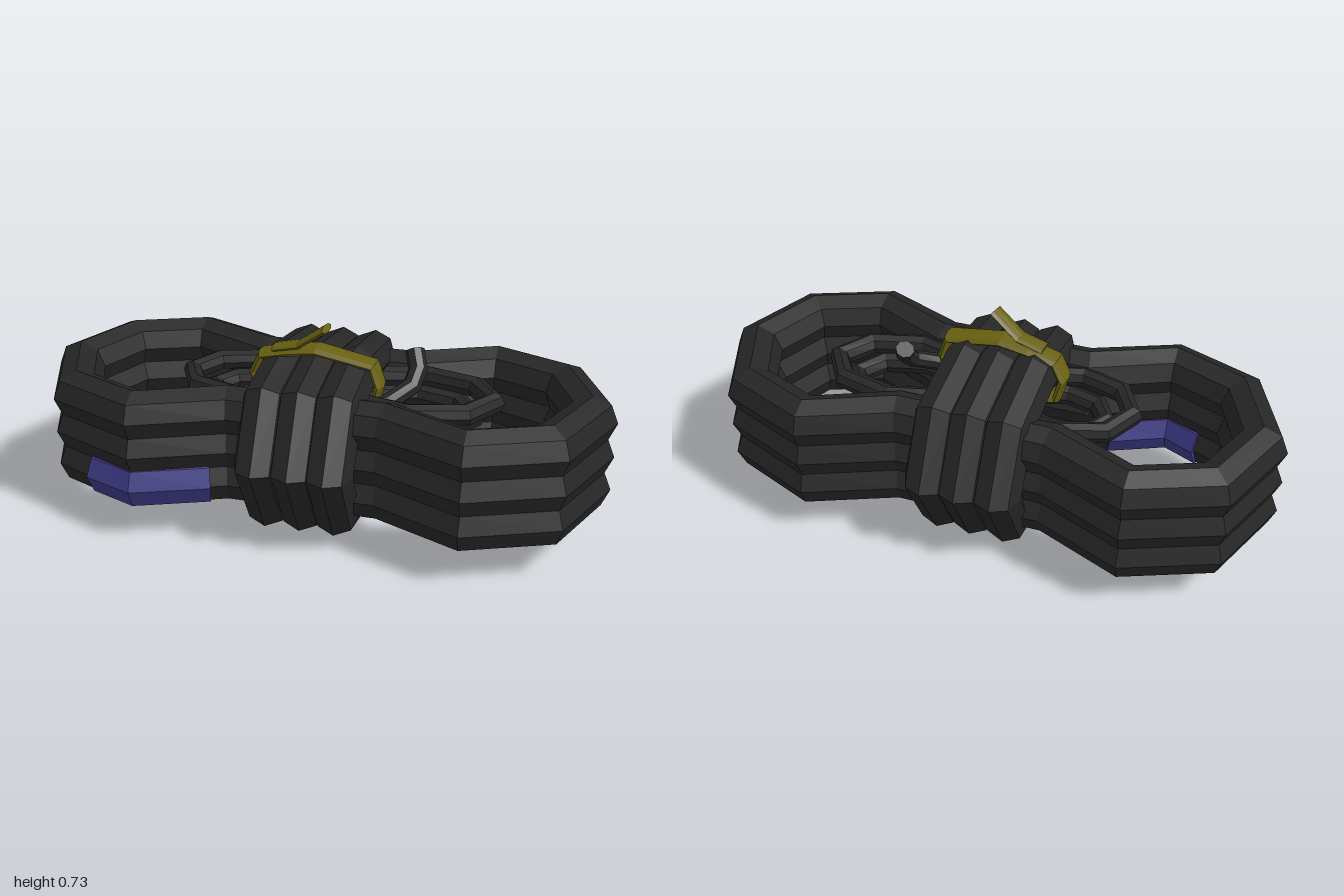
import * as THREE from 'three';

const V = (x, y, z) => new THREE.Vector3(x, y, z);

const cableBlack = new THREE.MeshStandardMaterial({ color: 0x262626 });
const tieYellow = new THREE.MeshStandardMaterial({ color: 0x686010 });
const sleeveBlue = new THREE.MeshStandardMaterial({ color: 0x3d3a84 });

// Faceted tube along points; rn is the radius in the bend plane, rb along the side axis
function sweep(points, side, rn, rb, closed, sides = 8) {
  const n = points.length, pos = [], idx = [];
  points.forEach((p, i) => {
    const prev = closed ? points[(i + n - 1) % n] : points[Math.max(i - 1, 0)];
    const next = closed ? points[(i + 1) % n] : points[Math.min(i + 1, n - 1)];
    const a = p.clone().sub(prev).normalize(), c = next.clone().sub(p).normalize();
    const t = a.add(c).normalize();
    const out = t.clone().cross(side).normalize();
    const b = out.clone().cross(t);
    for (let j = 0; j < sides; j++) {
      const ang = (j / sides) * Math.PI * 2;
      const q = p.clone().addScaledVector(out, Math.cos(ang) * rn).addScaledVector(b, Math.sin(ang) * rb);
      pos.push(q.x, q.y, q.z);
    }
  });
  const segs = closed ? n : n - 1;
  for (let i = 0; i < segs; i++) {
    for (let j = 0; j < sides; j++) {
      const k = (j + 1) % sides, i2 = (i + 1) % n;
      const p = i * sides + j, q = i * sides + k, r = i2 * sides + j, s = i2 * sides + k;
      idx.push(p, r, q, q, r, s);
    }
  }
  if (!closed) {
    const e = (n - 1) * sides;
    for (let j = 1; j < sides - 1; j++) idx.push(0, j, j + 1, e, e + j + 1, e + j);
  }
  const indexed = new THREE.BufferGeometry();
  indexed.setAttribute('position', new THREE.Float32BufferAttribute(pos, 3));
  indexed.setIndex(idx);
  const geo = indexed.toNonIndexed(); // separate faces for a faceted look
  geo.computeVertexNormals();
  return geo;
}

export function createModel() {
  const model = new THREE.Group();
  const add = (name, geo, mat) => {
    const mesh = new THREE.Mesh(geo, mat);
    mesh.name = name;
    model.add(mesh);
    return mesh;
  };
  const X = V(1, 0, 0), Y = V(0, 1, 0), Z = V(0, 0, 1);

  // Main coils: three stacked turns with an octagonal loop at each end
  const half = [[0.27, 0.23], [0.555, 0.356], [0.807, 0.252], [0.911, 0],
    [0.807, -0.252], [0.555, -0.356], [0.27, -0.23]];
  const outline = [...half, ...half.map(([x, z]) => [-x, -z])];
  [0.2, 0.323, 0.446].forEach((y, i) => {
    add('mainCoil' + (i + 1), sweep(outline.map(([x, z]) => V(x, y, z)), Y, 0.088, 0.088, true), cableBlack);
  });

  // Cable wound three times round the middle
  const wrap = [[0, 0.224], [0.25, 0.186], [0.356, 0], [0.25, -0.186],
    [0, -0.224], [-0.25, -0.186], [-0.356, 0], [-0.25, 0.186]];
  [-0.127, -0.005, 0.115].forEach((x, i) => {
    add('middleWrap' + (i + 1), sweep(wrap.map(([z, y]) => V(x, 0.3125 + y, z)), X, 0.088, 0.082, true), cableBlack);
  });

  // Thin inner coils, tucked inside the big loops
  const innerCoil = (name, cx, rx, rz, y, r) => {
    const pts = [];
    for (let i = 0; i < 8; i++) {
      const a = (i / 8) * Math.PI * 2;
      pts.push(V(cx + rx * Math.cos(a), y, rz * Math.sin(a)));
    }
    add(name, sweep(pts, Y, r, r, true), cableBlack);
  };
  innerCoil('innerCoilLeftOuter', 0.33, 0.26, 0.165, 0.47, 0.038);
  innerCoil('innerCoilLeftInner', 0.31, 0.215, 0.14, 0.41, 0.038);
  innerCoil('innerCoilRightOuter', -0.27, 0.21, 0.165, 0.47, 0.036);
  innerCoil('innerCoilRightInner', -0.23, 0.165, 0.115, 0.42, 0.036);

  // Free cable end standing up
  add('cableEnd', sweep([V(0.17, 0.45, 0.13), V(0.25, 0.47, 0.085), V(0.315, 0.51, 0.02),
    V(0.325, 0.555, -0.025), V(0.305, 0.605, -0.065)], X, 0.03, 0.033, false), cableBlack);

  // Sleeve on the lowest coil
  add('sleeve', sweep([V(-0.7, 0.2, 0.296), V(-0.555, 0.2, 0.356), V(-0.335, 0.2, 0.262)],
    Y, 0.095, 0.091, false), sleeveBlue);

  // Flat tie round the top of the wrap, with its twisted tip
  const tie = [[-0.225, 0.53], [-0.195, 0.593], [-0.1, 0.615], [0, 0.63], [0.195, 0.597],
    [0.217, 0.53], [0.2, 0.45], [0.1, 0.42], [-0.1, 0.42], [-0.205, 0.45]];
  add('tieBand', sweep(tie.map(([x, y]) => V(x, y, 0.07 + x * 0.05)), Z, 0.018, 0.046, true), tieYellow);
  add('tieTip', sweep([V(-0.15, 0.622, 0.07), V(-0.06, 0.645, 0.078), V(0.038, 0.718, 0.1)],
    Z, 0.013, 0.035, false), tieYellow);

  return model;
}
